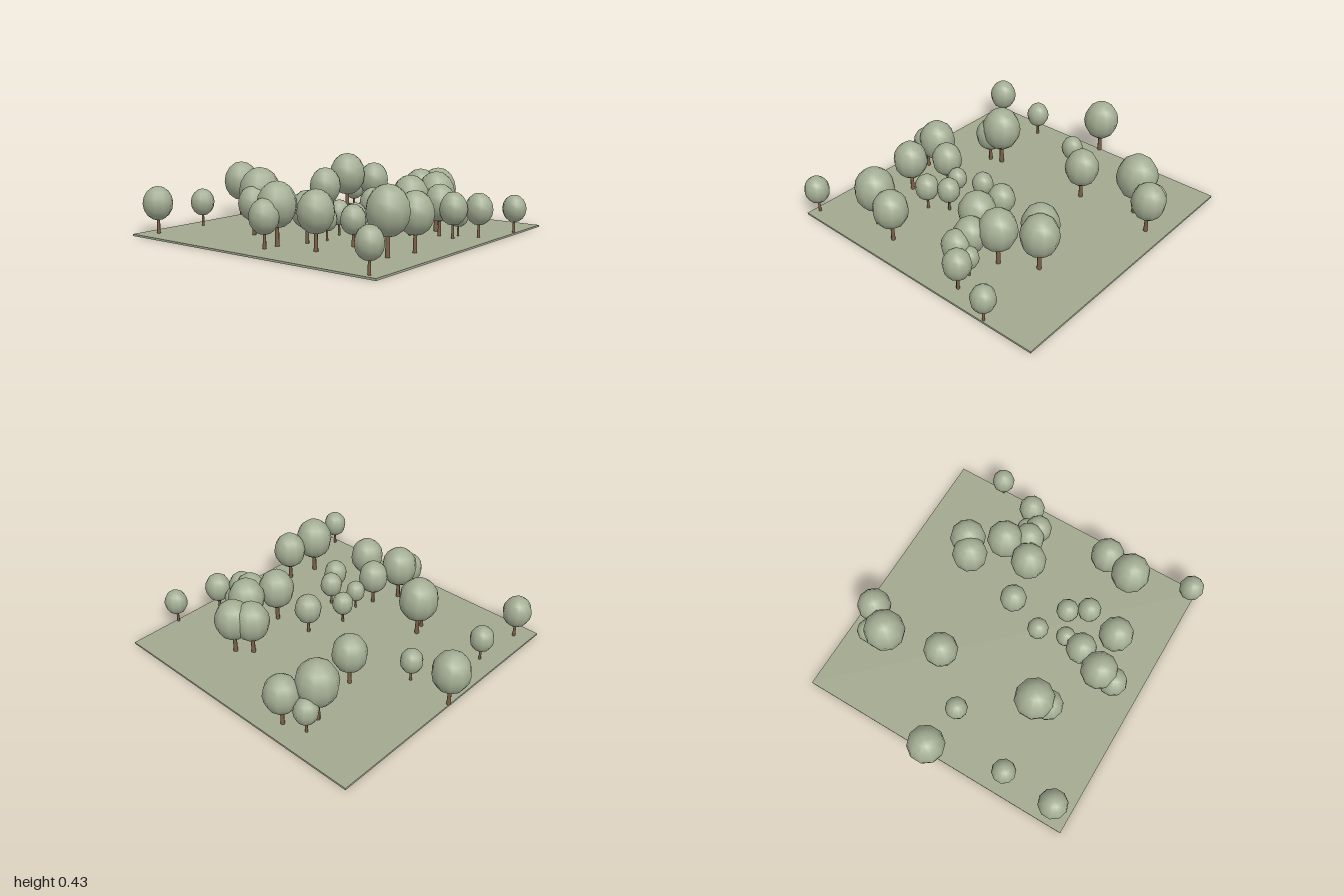
import * as THREE from 'three';

const mat = (name, color) => {
  const m = new THREE.MeshStandardMaterial({ color });
  m.name = name;
  return m;
};

// [x, z, crown radius] of every tree
const TREES = [
  [-0.777, -0.79, 0.092], [-0.428, -0.77, 0.076], [0.042, -0.883, 0.117], [0.023, -0.585, 0.071],
  [-0.373, -0.315, 0.128], [-0.452, -0.29, 0.097], [0.29, -0.333, 0.109], [0.647, -0.417, 0.13],
  [0.765, -0.445, 0.075], [0.81, -0.3, 0.107], [-0.72, 0.045, 0.091], [-0.618, 0.048, 0.118],
  [-0.45, 0.13, 0.098], [-0.32, 0.172, 0.063], [-0.143, 0.124, 0.069], [0.09, 0.209, 0.087],
  [-0.594, 0.314, 0.11], [-0.246, 0.325, 0.073], [-0.364, 0.397, 0.077], [0.127, 0.46, 0.116],
  [0.478, 0.31, 0.115], [0.547, 0.4, 0.117], [0.335, 0.515, 0.118], [0.214, 0.615, 0.1],
  [0.2, 0.716, 0.088], [0.283, 0.705, 0.063], [0.314, 0.827, 0.085], [-0.478, 0.713, 0.125],
  [-0.288, 0.763, 0.109], [-0.856, 0.866, 0.079], [0.592, 0.92, 0.074],
];

export function createModel() {
  const group = new THREE.Group();
  group.name = 'woodland';
  const groundMat = mat('ground green', 0xa1a88e);
  const leafMat = mat('leaf green', 0xa3ad93);
  const barkMat = mat('bark brown', 0x7d6247);
  const top = 0.012;

  // flat ground slab
  const ground = new THREE.Mesh(new THREE.BoxGeometry(1.825, top, 1.825), groundMat);
  ground.name = 'ground';
  ground.position.set(0.017, top / 2, 0.022);
  group.add(ground);

  // one tree with unit crown radius, scaled for each place
  const crownGeo = new THREE.SphereGeometry(1, 10, 8).scale(1, 1.15, 1).translate(0, 2.03, 0);
  const trunkGeo = new THREE.CylinderGeometry(0.09, 0.125, 1.2, 6).translate(0, 0.6, 0);
  TREES.forEach(([x, z, r], i) => {
    const tree = new THREE.Group();
    tree.name = `tree${i + 1}`;
    const crown = new THREE.Mesh(crownGeo, leafMat);
    crown.name = 'crown';
    const trunk = new THREE.Mesh(trunkGeo, barkMat);
    trunk.name = 'trunk';
    tree.add(trunk, crown);
    tree.position.set(x, top, z);
    tree.scale.setScalar(r);
    group.add(tree);
  });
  return group;
}
